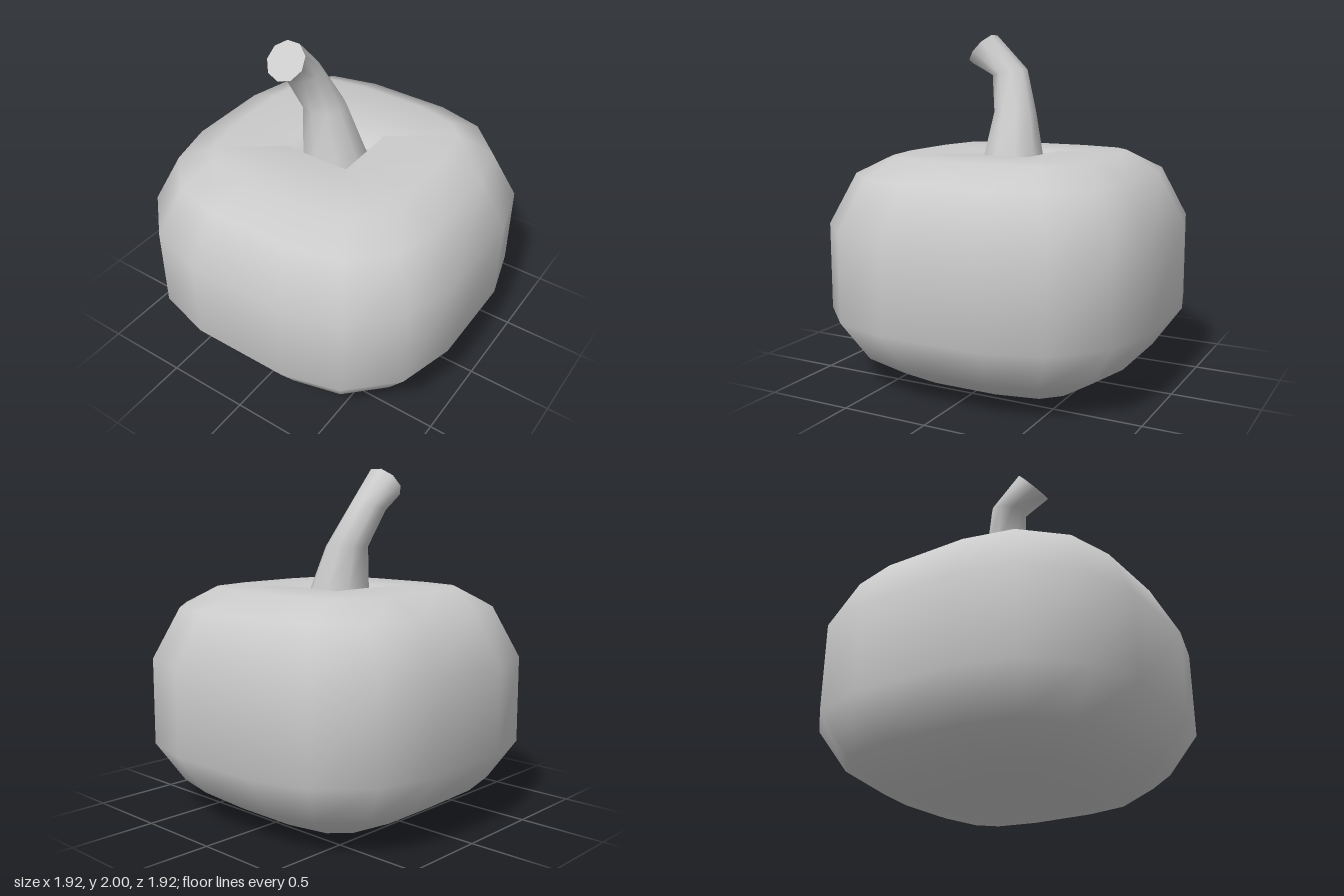
import * as THREE from 'three';

// Smooth skin over closed loops stacked from bottom to top; optional end points close it
function loft(rings, bottom, top) {
  const n = rings[0].length, index = [];
  const points = rings.flat();
  for (let i = 0; i < rings.length - 1; i++) {
    for (let j = 0; j < n; j++) {
      const a = i * n + j, b = i * n + (j + 1) % n;
      index.push(a, a + n, b, b, a + n, b + n);
    }
  }
  if (bottom) {
    const c = points.push(bottom) - 1;
    for (let j = 0; j < n; j++) index.push(c, j, (j + 1) % n);
  }
  if (top) {
    const c = points.push(top) - 1, s = (rings.length - 1) * n;
    for (let j = 0; j < n; j++) index.push(c, s + (j + 1) % n, s + j);
  }
  const geometry = new THREE.BufferGeometry().setFromPoints(points);
  geometry.setIndex(index);
  geometry.computeVertexNormals();
  return geometry;
}

// Rounded square loop: half width w, side points at +-m, corner points at (c, d) and (d, c)
function squareRing([y, w, m, c, d]) {
  const ring = [];
  for (let k = 0; k < 4; k++) {
    const cos = Math.round(Math.cos(k * Math.PI / 2)), sin = Math.round(Math.sin(k * Math.PI / 2));
    for (const [x, z] of [[w, -m], [w, m], [c, d], [d, c]]) {
      ring.push(new THREE.Vector3(x * cos - z * sin, y, x * sin + z * cos));
    }
  }
  return ring;
}

// Round loop about a centre, facing along a tilted direction
function stemRing([x, y, z, r, ny, nz]) {
  const n = new THREE.Vector3(0, ny, nz).normalize();
  const u = new THREE.Vector3(1, 0, 0), v = u.clone().cross(n);
  return Array.from({ length: 9 }, (_, i) => {
    const a = (i + 0.25) / 9 * Math.PI * 2;
    return new THREE.Vector3(x, y, z)
      .addScaledVector(u, r * Math.cos(a)).addScaledVector(v, r * Math.sin(a));
  });
}

export function createModel() {
  const group = new THREE.Group();
  const material = new THREE.MeshStandardMaterial({ color: 0xcccccc });
  const add = (name, geometry) => {
    const mesh = new THREE.Mesh(geometry, material);
    mesh.name = name;
    group.add(mesh);
  };

  // Squarish pumpkin body with a shallow square dip on top
  const bodyRings = [
    [0.005, 0.26, 0.09, 0.25, 0.22],
    [0.055, 0.58, 0.19, 0.53, 0.43],
    [0.19, 0.80, 0.25, 0.73, 0.53],
    [0.42, 0.96, 0.29, 0.87, 0.62],
    [0.92, 0.96, 0.29, 0.87, 0.62],
    [1.21, 0.81, 0.25, 0.74, 0.53],
    [1.315, 0.59, 0.20, 0.54, 0.45],
    [1.315, 0.20, 0.07, 0.20, 0.19],
    [1.23, 0.15, 0.05, 0.15, 0.14],
  ].map(squareRing);
  add('body', loft(bodyRings, new THREE.Vector3(0, 0, 0), new THREE.Vector3(0, 1.22, 0)));

  // Bent tapering stem: centre, radius, facing direction
  const stemRings = [
    [0, 1.2, 0, 0.195, 1, 0],
    [-0.022, 1.315, 0.008, 0.172, 1, 0],
    [-0.066, 1.55, 0.02, 0.125, 1, 0],
    [-0.155, 1.775, 0.10, 0.107, 0.98, 0.19],
    [-0.135, 1.915, 0.268, 0.115, 0.67, 0.74],
  ].map(stemRing);
  add('stem', loft(stemRings));

  // Flat cut end of the stem
  add('stemEnd', loft([stemRings.at(-1)], null, new THREE.Vector3(-0.135, 1.915, 0.268)));

  return group;
}
